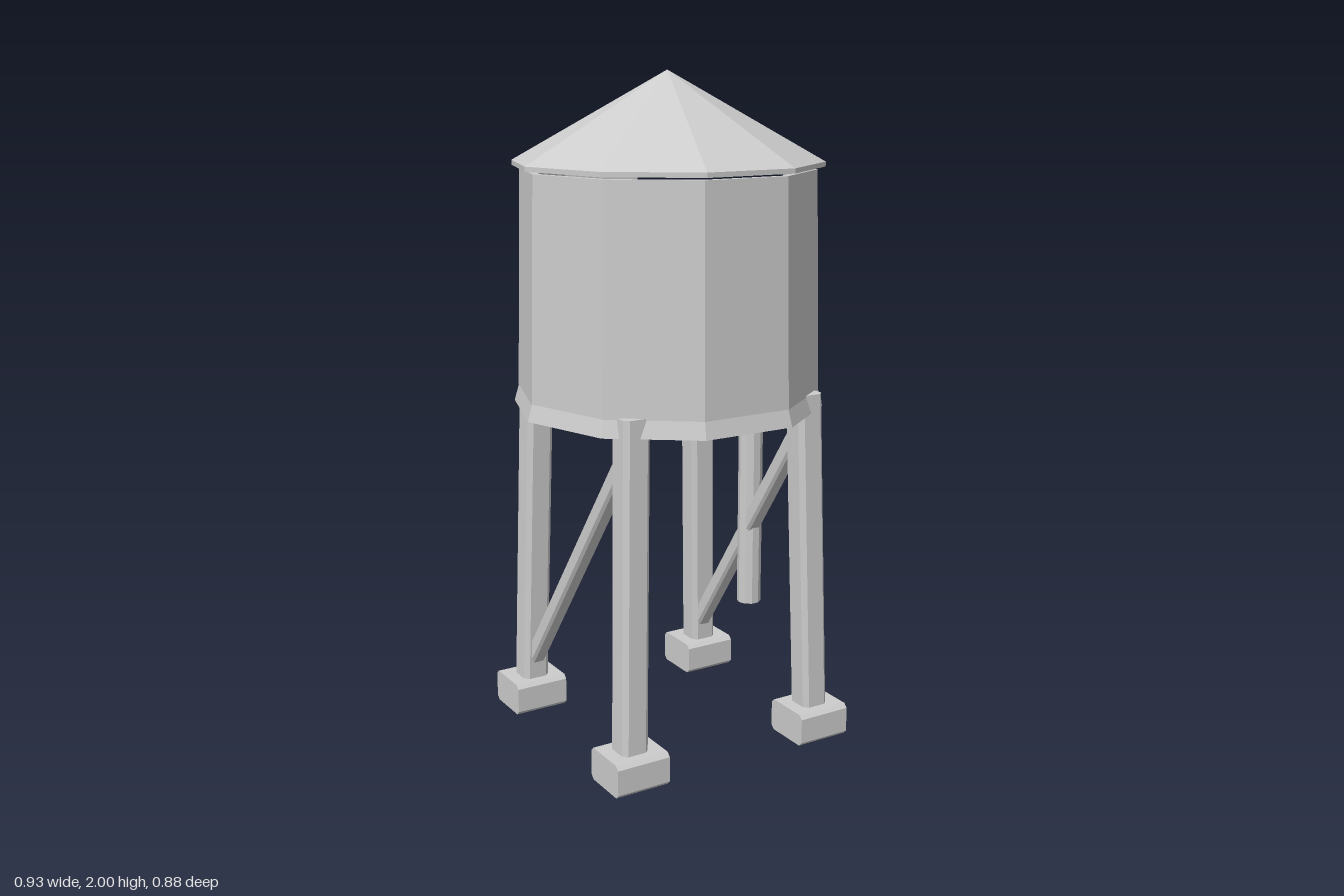
import * as THREE from 'three';

const SIDES = 10;
const grey = new THREE.MeshStandardMaterial({ color: 0xcccccc });
grey.name = 'pale grey';

function add(parent, name, geometry) {
  const flat = geometry.index ? geometry.toNonIndexed() : geometry;
  flat.computeVertexNormals();
  const mesh = new THREE.Mesh(flat, grey);
  mesh.name = name;
  parent.add(mesh);
  return mesh;
}

// Faceted ring: a closed [radius, y] profile (counter-clockwise) swept round y, capped when partial
function facetedRing(profile, sides, count = sides) {
  const n = profile.length, pos = [], idx = [];
  for (let i = 0; i <= count; i++) {
    const a = (i / sides) * Math.PI * 2;
    for (const [r, y] of profile) pos.push(r * Math.cos(a), y, r * Math.sin(a));
  }
  for (let i = 0; i < count; i++) {
    for (let j = 0; j < n; j++) {
      const k = (j + 1) % n;
      const a = i * n + j, b = i * n + k, c = a + n, d = b + n;
      if (profile[j][0] > 0) idx.push(a, d, c);
      if (profile[k][0] > 0) idx.push(a, b, d);
    }
  }
  if (count < sides) {
    const end = count * n;
    for (let j = 1; j < n - 1; j++) {
      idx.push(0, j + 1, j, end, end + j, end + j + 1);
    }
  }
  const g = new THREE.BufferGeometry();
  g.setAttribute('position', new THREE.Float32BufferAttribute(pos, 3));
  g.setIndex(idx);
  return g;
}

// Bar along z, centred, with chamfered long edges
function chamferedBar(w, h, length, c) {
  const x = w / 2, y = h / 2;
  const outline = [
    [x, -y + c], [x, y - c], [x - c, y], [-x + c, y],
    [-x, y - c], [-x, -y + c], [-x + c, -y], [x - c, -y],
  ].map(([px, py]) => new THREE.Vector2(px, py));
  return new THREE.ExtrudeGeometry(new THREE.Shape(outline), { depth: length, bevelEnabled: false })
    .translate(0, 0, -length / 2);
}

export function createModel() {
  const tower = new THREE.Group();
  tower.name = 'waterTower';

  // Tank: roof and wall stop short, leaving two panels open at the back left
  const roof = [[0, 2], [0, 1.982], [0.458, 1.728], [0.458, 1.742]].reverse();
  const wall = [[0.43, 1.07], [0.452, 1.07], [0.435, 1.72], [0.413, 1.72]];
  add(tower, 'roof', facetedRing(roof.reverse(), SIDES, 8));
  add(tower, 'tankWall', facetedRing(wall, SIDES, 8));
  add(tower, 'tankFloor', new THREE.CylinderGeometry(0.45, 0.465, 0.055, SIDES, 1, false, Math.PI / 2)
    .translate(0, 1.0475, 0));

  // Legs leaning inward on concrete footings
  const legBottom = 0.09, legTop = 1.075, lean = -0.026;
  for (const sx of [1, -1]) {
    for (const sz of [1, -1]) {
      const side = (sz > 0 ? 'front' : 'back') + (sx > 0 ? 'Left' : 'Right');
      const leg = chamferedBar(0.085, 0.085, legTop - legBottom, 0.014)
        .rotateX(-Math.PI / 2)
        .translate(0, (legTop - legBottom) / 2, 0);
      leg.applyMatrix4(new THREE.Matrix4().set(
        1, sx * lean, 0, sx * 0.318,
        0, 1, 0, legBottom,
        0, sz * lean, 1, sz * 0.318,
        0, 0, 0, 1));
      add(tower, side + 'Leg', leg);
      add(tower, side + 'Footing', chamferedBar(0.157, 0.1, 0.17, 0.012)
        .rotateY(Math.PI / 2)
        .translate(sx * 0.318, 0.05, sz * 0.321));
    }

    // Diagonal brace from the top of the front leg to the foot of the back leg
    const top = new THREE.Vector3(sx * 0.295, 0.965, 0.28);
    const foot = new THREE.Vector3(sx * 0.314, 0.16, -0.3);
    const brace = add(tower, sx > 0 ? 'leftBrace' : 'rightBrace',
      chamferedBar(0.05, 0.05, top.distanceTo(foot), 0.008));
    brace.position.copy(top).lerp(foot, 0.5);
    brace.lookAt(top);
  }

  // Hollow outlet pipe hanging below the floor
  const pipe = [[0.027, 0.33], [0.038, 0.33], [0.038, 1.03], [0.027, 1.03]];
  add(tower, 'outletPipe', facetedRing(pipe, 10)).position.x = 0.307;

  return tower;
}
